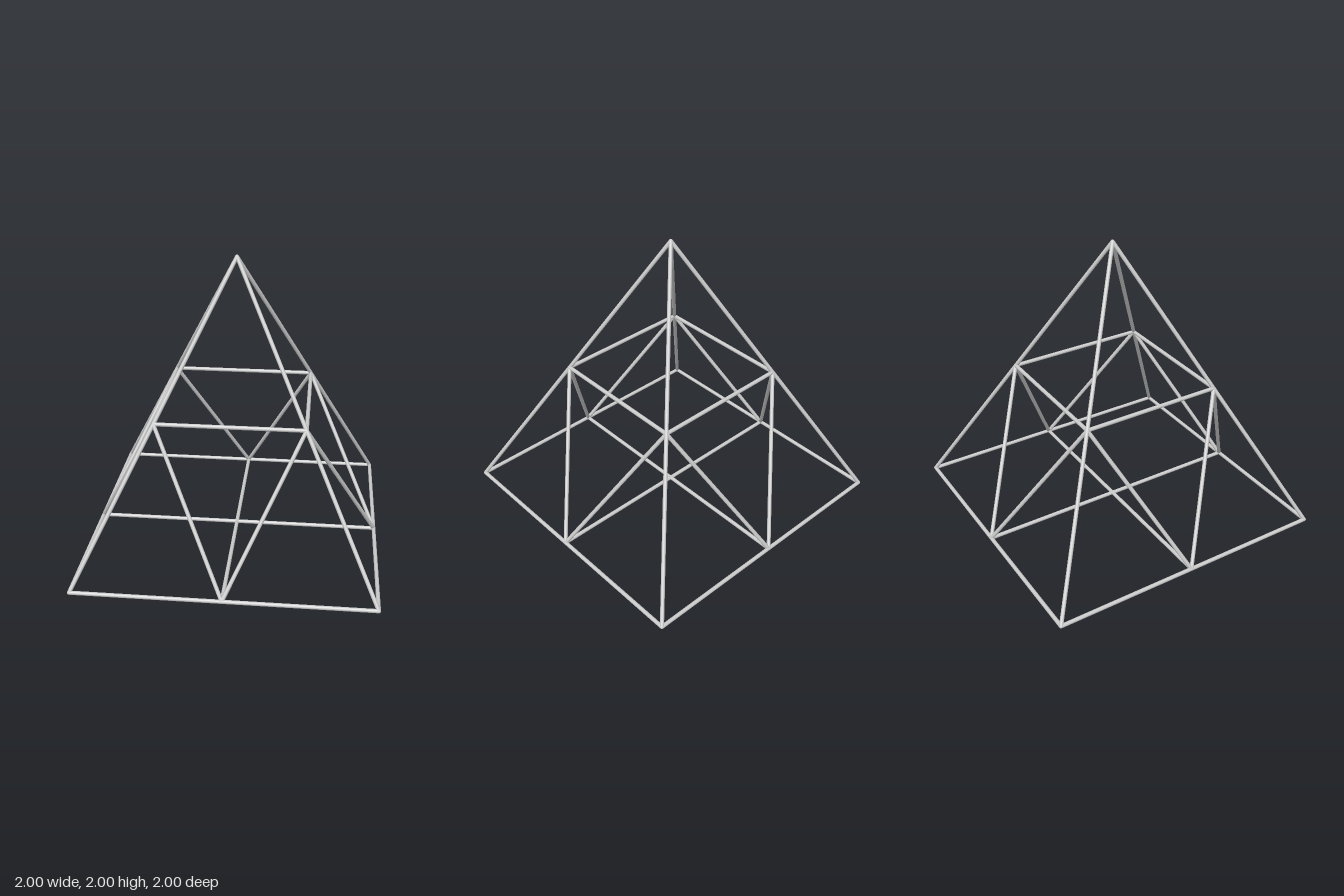
import * as THREE from 'three';

const R = 0.0135;          // rod radius
const B = 1 - R;           // half base, to rod centres
const TOP = 2 - R;         // apex height
const MID = (R + TOP) / 2; // height of the middle square
const H = B / 2;           // half width of the middle square

export function createModel() {
  const group = new THREE.Group();
  const material = new THREE.MeshStandardMaterial({ color: 0xcccccc });
  const up = new THREE.Vector3(0, 1, 0);

  // Straight round rod between two points
  function rod(name, a, b) {
    const dir = b.clone().sub(a);
    const mesh = new THREE.Mesh(new THREE.CylinderGeometry(R, R, dir.length(), 16), material);
    mesh.position.copy(a).add(b).multiplyScalar(0.5);
    mesh.quaternion.setFromUnitVectors(up, dir.normalize());
    mesh.name = name;
    group.add(mesh);
  }

  // Rounded end where rods meet
  function joint(p) {
    const mesh = new THREE.Mesh(new THREE.SphereGeometry(R, 16, 10), material);
    mesh.position.copy(p);
    mesh.name = 'joint';
    group.add(mesh);
  }

  const signs = [[1, 1], [1, -1], [-1, -1], [-1, 1]];
  const apex = new THREE.Vector3(0, TOP, 0);
  const corners = signs.map(([x, z]) => new THREE.Vector3(x * B, R, z * B));
  const middles = signs.map(([x, z]) => new THREE.Vector3(x * H, MID, z * H));
  const edgeMids = corners.map((c, i) => c.clone().add(corners[(i + 1) % 4]).multiplyScalar(0.5));

  // Four sides: base edge, sloping edge, middle square edge and face braces
  for (let i = 0; i < 4; i++) {
    const n = (i + 1) % 4;
    rod('baseEdge', corners[i], corners[n]);
    rod('slopingEdge', corners[i], apex);
    rod('middleEdge', middles[i], middles[n]);
    rod('faceBrace', edgeMids[i], middles[i]);
    rod('faceBrace', edgeMids[i], middles[n]);
  }

  // Cross on the floor
  rod('baseCross', edgeMids[0], edgeMids[2]);
  rod('baseCross', edgeMids[1], edgeMids[3]);

  [apex, ...corners, ...middles, ...edgeMids].forEach(joint);
  return group;
}
